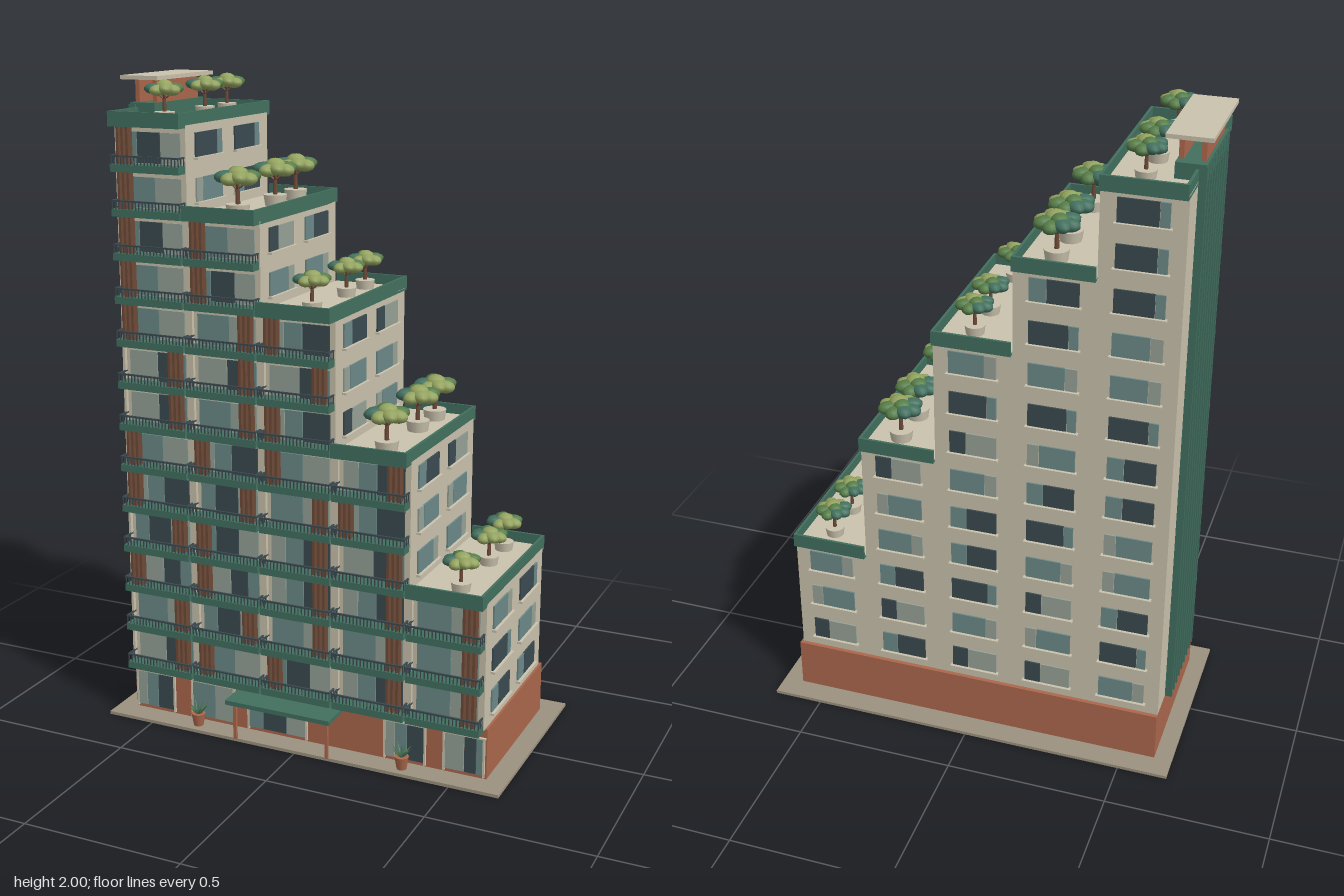
import * as THREE from 'three';
import { mergeGeometries } from 'three/addons/utils/BufferGeometryUtils.js';

const colours = {
  cream: 0xcac2ad, teal: 0x42705f, terracotta: 0xab674c, brown: 0x6e4a38, darkGlass: 0x3b4a50,
  blueGlass: 0x6c8a89, paleCurtain: 0x96a297, paving: 0x9c917f, leafGreen: 0x567d48, leafOlive: 0x94a45f,
};

export function createModel() {
  const model = new THREE.Group();
  model.name = 'steppedApartmentBlock';
  const mats = {};
  for (const [name, color] of Object.entries(colours)) {
    mats[name] = new THREE.MeshStandardMaterial({ color });
    mats[name].name = name;
  }

  // Pieces are gathered by part and colour, then merged into one mesh each
  const parts = new Map();
  const add = (part, mat, geo) => {
    const key = part + '|' + mat;
    if (!parts.has(key)) parts.set(key, []);
    parts.get(key).push(geo.index ? geo.toNonIndexed() : geo);
  };
  const box = (part, mat, x0, x1, y0, y1, z0, z1) => add(part, mat,
    new THREE.BoxGeometry(x1 - x0, y1 - y0, z1 - z0).translate((x0 + x1) / 2, (y0 + y1) / 2, (z0 + z1) / 2));

  let seed = 7;
  const rand = () => (seed = (seed * 16807) % 2147483647) / 2147483647;

  const FLOOR = 0.1308, Y0 = 0.17, BAY = 0.237, X0 = -0.6;
  const FRONT = 0.24, BACK = -0.262, EDGE = 0.29;
  const floors = [13, 11, 9, 6, 3];

  // Window of several panes, facing +z before it is turned and placed
  const patterns = [
    [['darkGlass', 0.35], ['paleCurtain', 0.65]],
    [['blueGlass', 0.75], ['paleCurtain', 0.25]],
    [['darkGlass', 0.8], ['blueGlass', 0.2]],
    [['paleCurtain', 0.25], ['blueGlass', 0.75]],
    [['blueGlass', 0.35], ['darkGlass', 0.65]],
  ];
  const frontPatterns = [
    [['paleCurtain', 0.25], ['blueGlass', 0.3], ['darkGlass', 0.45]],
    [['blueGlass', 0.25], ['darkGlass', 0.4], ['paleCurtain', 0.35]],
    [['paleCurtain', 0.5], ['darkGlass', 0.3], ['blueGlass', 0.2]],
    [['blueGlass', 0.55], ['paleCurtain', 0.45]],
  ];
  function windowAt(part, set, w, h, x, y, z, turn, sill) {
    const place = g => g.rotateY(turn).translate(x, y, z);
    let left = -w / 2;
    for (const [mat, share] of set[Math.floor(rand() * set.length)]) {
      const pw = w * share;
      add(part, mat, place(new THREE.BoxGeometry(pw - 0.002, h, 0.006).translate(left + pw / 2, h / 2, 0.002)));
      left += pw;
    }
    if (sill) add('windowSill', 'cream', place(new THREE.BoxGeometry(w + 0.012, 0.007, 0.016).translate(0, -0.0035, 0.006)));
  }

  // Paving and ground storey
  box('paving', 'paving', -0.655, 0.655, 0, 0.01, -0.347, 0.315);
  box('groundStorey', 'terracotta', X0, 0.592, 0.01, Y0, -0.275, FRONT);
  for (const [a, b] of [[-0.59, -0.455], [-0.39, -0.24], [-0.19, 0.01], [0.27, 0.4], [0.46, 0.585]]) {
    windowAt('shopWindow', frontPatterns, b - a, 0.115, (a + b) / 2, 0.022, FRONT, 0, false);
    box('shopWindowFrame', 'cream', a - 0.005, b + 0.005, 0.137, 0.142, FRONT, FRONT + 0.008);
    for (const x of [a, b]) box('shopWindowFrame', 'cream', x - 0.004, x + 0.002, 0.015, 0.14, FRONT, FRONT + 0.008);
  }

  // Entrance canopy on posts
  box('entranceCanopy', 'teal', -0.22, 0.13, 0.132, 0.146, FRONT, 0.343);
  for (const x of [-0.2, 0.11]) box('canopyPost', 'terracotta', x - 0.005, x + 0.005, 0.01, 0.132, 0.31, 0.32);

  // Potted plants by the entrance
  for (const x of [-0.35, 0.34]) {
    add('entrancePot', 'terracotta', new THREE.CylinderGeometry(0.022, 0.015, 0.04, 12).translate(x, 0.03, 0.28));
    for (let i = 0; i < 9; i++) {
      const leaf = new THREE.ConeGeometry(0.006, 0.048, 4).translate(0, 0.024, 0);
      leaf.rotateZ(i ? -0.75 : 0).rotateY(i * Math.PI / 4).translate(x, 0.046, 0.28);
      add('entrancePlant', i % 2 ? 'leafGreen' : 'teal', leaf);
    }
  }

  // Shallow balcony with a barred railing
  function balcony(xc, y) {
    const a = xc - 0.115, b = xc + 0.115;
    box('balconySlab', 'teal', a, b, y - 0.008, y + 0.014, FRONT, EDGE);
    box('balconyRail', 'darkGlass', a, b, y + 0.036, y + 0.041, EDGE - 0.006, EDGE);
    for (const x of [a, b - 0.005]) box('balconyRail', 'darkGlass', x, x + 0.005, y + 0.036, y + 0.041, FRONT, EDGE - 0.006);
    for (let i = 0; i <= 20; i++) {
      const x = a + 0.002 + i * (b - a - 0.004) / 20;
      box('balconyBars', 'darkGlass', x - 0.0015, x + 0.0015, y + 0.014, y + 0.036, EDGE - 0.005, EDGE - 0.002);
    }
    for (const x of [a + 0.002, b - 0.002]) for (const z of [0.255, 0.27])
      box('balconyBars', 'darkGlass', x - 0.0015, x + 0.0015, y + 0.014, y + 0.036, z - 0.0015, z + 0.0015);
  }

  // Roof tree: planter, trunk with branches and a flat crown of lobes
  function tree(x, y, z, s) {
    const put = (part, mat, g) => add(part, mat, g.scale(s, s, s).translate(x, y, z));
    put('planter', 'cream', new THREE.CylinderGeometry(0.03, 0.026, 0.027, 14).translate(0, 0.0135, 0));
    put('trunk', 'brown', new THREE.CylinderGeometry(0.004, 0.006, 0.06, 6).translate(0, 0.055, 0));
    for (let i = 0; i < 4; i++)
      put('branch', 'brown', new THREE.CylinderGeometry(0.002, 0.003, 0.034, 5).translate(0, 0.017, 0)
        .rotateZ(-0.9).rotateY(i * Math.PI / 2 + 0.4).translate(0, 0.062, 0));
    const ring = ['leafOlive', 'leafOlive', 'leafOlive', 'teal', 'teal', 'teal', 'leafGreen', 'leafGreen'];
    ring.forEach((mat, i) => {
      const a = (i + 0.2) * Math.PI / 4;
      put('treeCrown', mat, new THREE.SphereGeometry(1, 10, 7).scale(0.029, 0.016, 0.021).rotateY(-a)
        .translate(Math.cos(a) * 0.028, 0.088 + (i % 2) * 0.004, Math.sin(a) * 0.028));
    });
    put('treeCrown', 'leafOlive', new THREE.SphereGeometry(0.026, 10, 7).scale(1, 0.75, 1).translate(0.004, 0.098, 0.004));
    put('treeCrown', 'leafGreen', new THREE.SphereGeometry(0.022, 10, 7).scale(1, 0.75, 1).translate(-0.008, 0.099, -0.01));
  }

  floors.forEach((count, bay) => {
    const x0 = X0 + bay * BAY, x1 = x0 + BAY, xc = (x0 + x1) / 2;
    const roof = Y0 + count * FLOOR, next = floors[bay + 1] ?? 0;
    box('bayWalls', 'cream', x0, x1, Y0, roof, BACK, FRONT);
    for (const x of [x0, x1 - 0.008]) box('pilaster', 'cream', x, x + 0.008, Y0, roof, FRONT, FRONT + 0.012);

    for (let f = 0; f < count; f++) {
      const y = Y0 + f * FLOOR;
      balcony(xc, y);
      windowAt('frontWindow', frontPatterns, 0.195, 0.09, xc, y + 0.016, FRONT, 0, false);
      windowAt('backWindow', patterns, 0.145, 0.07, xc, y + 0.036, BACK, Math.PI, true);
      if (f >= next) for (const z of [0.12, -0.12])
        windowAt('sideWindow', patterns, 0.16, 0.07, x1, y + 0.036, z, Math.PI / 2, true);
      // Timber screen at one end of the balcony
      const start = rand() < 0.5 ? x0 + 0.022 : x1 - 0.062;
      for (let i = 0; i < 3; i++)
        box('timberScreen', 'brown', start + i * 0.016, start + i * 0.016 + 0.008, y + 0.014, y + FLOOR - 0.008, 0.257, 0.282);
    }

    // Roof slab, terrace floor and parapet
    box('roofSlab', 'teal', x0, x1, roof - 0.008, roof, -0.28, EDGE);
    box('terraceFloor', 'cream', x0, x1 - 0.008, roof, roof + 0.004, -0.274, EDGE - 0.006);
    box('parapet', 'teal', x0, x1, roof, roof + 0.036, EDGE - 0.008, EDGE);
    box('parapet', 'teal', x0, x1, roof, roof + 0.036, -0.28, -0.272);
    box('parapet', 'teal', x1 - 0.008, x1, roof, roof + 0.036, -0.272, EDGE - 0.008);
    if (bay === 0) box('parapet', 'teal', x0, x0 + 0.008, roof, roof + 0.036, -0.272, EDGE - 0.008);
    for (const z of [-0.19, -0.05, 0.19]) tree(xc + 0.016, roof + 0.004, z, bay % 2 ? 1.22 : 1.02);
  });

  // Ribbed panel up the tall end wall
  box('ribbedPanel', 'teal', X0 - 0.008, X0, Y0, 1.915, -0.165, 0.135);
  for (let i = 0; i < 9; i++) {
    const z = -0.165 + i * 0.0363;
    box('panelRib', 'teal', X0 - 0.022, X0 - 0.008, Y0, 1.915, z, z + 0.0095);
  }

  // Rooftop shelter: plinth, two walls and a flat cover
  box('shelterPlinth', 'teal', -0.62, -0.535, 1.87, 1.92, -0.165, 0.13);
  for (const x of [-0.605, -0.545]) box('shelterWall', 'terracotta', x - 0.007, x + 0.007, 1.92, 1.988, -0.135, 0.11);
  box('shelterCover', 'cream', -0.637, -0.51, 1.988, 2, -0.183, 0.153);

  for (const [key, geos] of parts) {
    const [part, mat] = key.split('|');
    const mesh = new THREE.Mesh(mergeGeometries(geos), mats[mat]);
    mesh.name = part;
    model.add(mesh);
  }
  return model;
}
